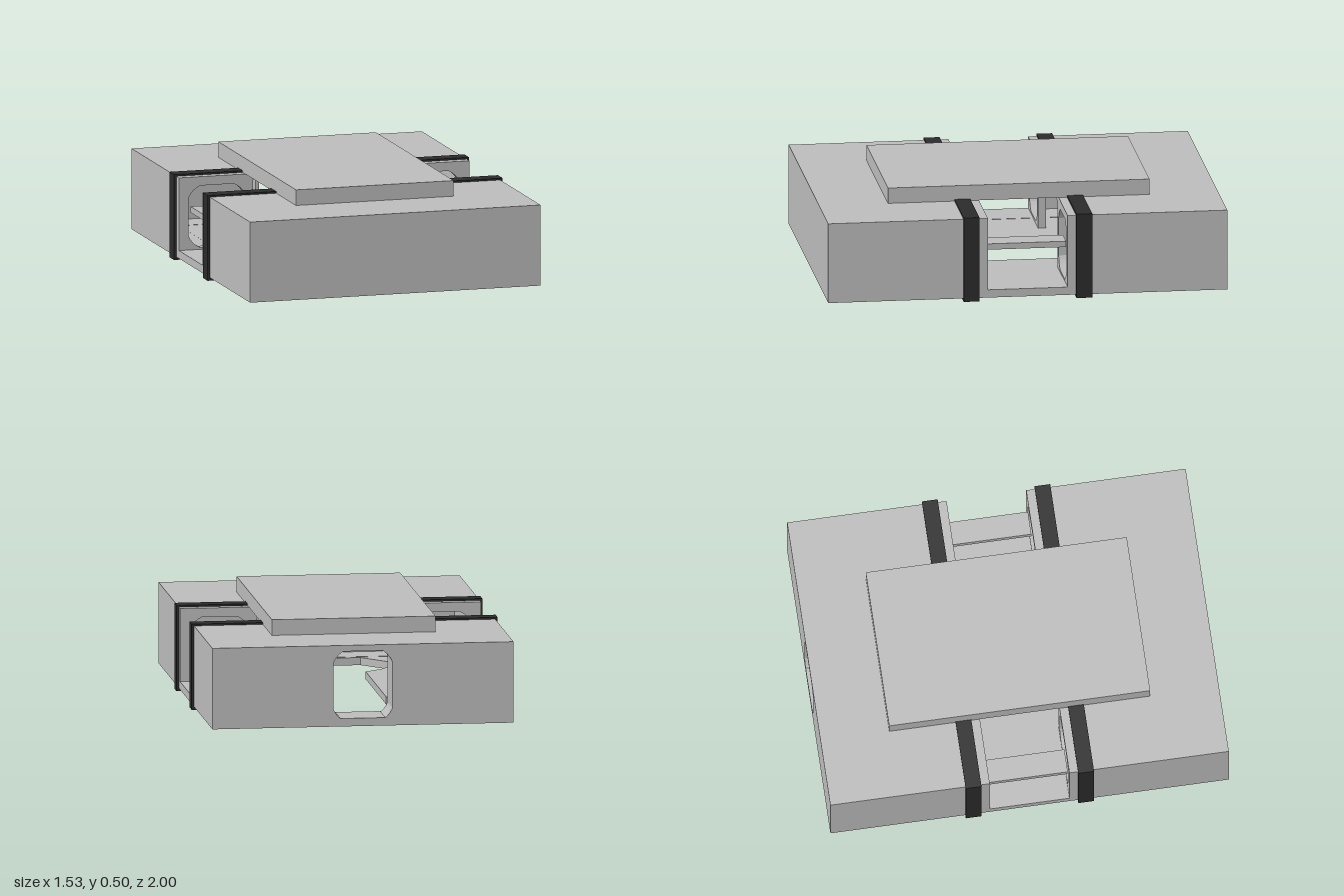
import * as THREE from 'three';

export function createModel() {
  const model = new THREE.Group();
  const grey = new THREE.MeshStandardMaterial({ color: 0xbcbcbc });
  grey.name = 'light grey';
  const black = new THREE.MeshStandardMaterial({ color: 0x2b2b2b });
  black.name = 'strap black';

  const Y0 = 0.015, Y1 = 0.423, W = 0.755, L = 1, WALL = 0.03, NOTCH = 0.2;

  function add(name, geometry, material = grey) {
    const mesh = new THREE.Mesh(geometry, material);
    mesh.name = name;
    model.add(mesh);
    return mesh;
  }

  // box given by its minimum and maximum on each axis
  function block(name, x0, x1, y0, y1, z0, z1, material = grey) {
    const mesh = add(name, new THREE.BoxGeometry(x1 - x0, y1 - y0, z1 - z0), material);
    mesh.position.set((x0 + x1) / 2, (y0 + y1) / 2, (z0 + z1) / 2);
  }

  const points = (list) => list.map(([x, y]) => new THREE.Vector2(x, y));
  const rect = (x0, x1, y0, y1) => points([[x0, y0], [x1, y0], [x1, y1], [x0, y1]]);

  // rectangle with softly rounded, clipped corners
  function clipped(x0, x1, y0, y1, c) {
    const p = new THREE.Path();
    p.moveTo(x0 + c, y0);
    p.lineTo(x1 - c, y0).quadraticCurveTo(x1 - c * 0.3, y0 + c * 0.3, x1, y0 + c);
    p.lineTo(x1, y1 - c).quadraticCurveTo(x1 - c * 0.3, y1 - c * 0.3, x1 - c, y1);
    p.lineTo(x0 + c, y1).quadraticCurveTo(x0 + c * 0.3, y1 - c * 0.3, x0, y1 - c);
    p.lineTo(x0, y0 + c).quadraticCurveTo(x0 + c * 0.3, y0 + c * 0.3, x0 + c, y0);
    return p.getPoints(4);
  }

  function pierced(outline, hole, depth) {
    const shape = new THREE.Shape(outline);
    shape.holes.push(new THREE.Path(hole));
    return new THREE.ExtrudeGeometry(shape, { depth, bevelEnabled: false });
  }

  // lid and the shallow pad beneath it
  block('lid', -0.41, 0.41, Y1, 0.502, -0.655, 0.655);
  block('lidPad', -0.2, 0.2, Y1 - 0.007, Y1, -0.15, 0.15);

  // bottom rim
  const rim = add('bottomRim', pierced(rect(-W, W, -L, L), rect(-0.565, 0.565, -0.82, 0.82), 0.04));
  rim.rotation.x = Math.PI / 2;
  rim.position.y = Y0 + 0.04;

  // bottom panel with an opening that widens at both ends
  const quarter = [[0.2, 0.38], [0.29, 0.45], [0.35, 0.54], [0.35, 0.66], [0.23, 0.8]];
  const flipped = [...quarter].reverse();
  const opening = points([
    ...quarter,
    ...flipped.map(([x, z]) => [-x, z]),
    ...quarter.map(([x, z]) => [-x, -z]),
    ...flipped.map(([x, z]) => [x, -z]),
  ]);
  const panel = add('bottomPanel', pierced(rect(-0.563, 0.563, -0.818, 0.818), opening, 0.038));
  panel.rotation.x = Math.PI / 2;
  panel.position.y = Y0 + 0.039;

  // end walls; the back one is parted by a port
  block('frontWall', -W, W, Y0 + 0.04, Y1, L - WALL, L);
  const PORT = 0.165;
  for (const s of [-1, 1]) {
    const a = s * PORT, b = s * W;
    block('backWall', Math.min(a, b), Math.max(a, b), Y0 + 0.04, Y1, -L, -L + WALL);
  }
  const port = add('backPort', pierced(
    rect(-PORT, PORT, Y0, Y1), clipped(-0.148, 0.148, Y0 + 0.022, Y1 - 0.022, 0.065), 0.18));
  port.position.z = -L;

  // top plates on either side of the cross opening
  for (const s of [-1, 1]) {
    const z0 = s > 0 ? NOTCH : -L, z1 = s > 0 ? L : -NOTCH;
    block('topPlate', -W, W, Y1 - WALL, Y1, z0, z1);
  }

  for (const sx of [-1, 1]) {
    const span = (a, b) => (sx > 0 ? [a, b] : [-b, -a]);

    // carrying bar across the side notch
    block('sideBar', ...span(0.575, 0.695), 0.245, 0.275, -NOTCH, NOTCH);

    for (const sz of [-1, 1]) {
      const deep = (a, b) => (sz > 0 ? [a, b] : [-b, -a]);

      // side wall
      block('sideWall', ...span(W - WALL, W), Y0 + 0.04, Y1, ...deep(NOTCH, L));

      // pierced frame facing the notch
      const frame = add('notchFrame', pierced(
        rect(...span(0.37, W), Y0, Y1),
        clipped(...span(0.41, 0.705), Y0 + 0.05, Y1 - 0.045, 0.06), 0.04));
      frame.position.z = sz > 0 ? NOTCH : -NOTCH - 0.04;

      // strap folded over the side wall
      const z = deep(0.243, 0.322);
      block('strapSide', ...span(W, 0.767), 0, 0.432, ...z, black);
      block('strapTop', ...span(0.4, W), Y1, 0.432, ...z, black);
      block('strapBottom', ...span(0.56, W), 0, Y0, ...z, black);
    }
  }

  return model;
}
